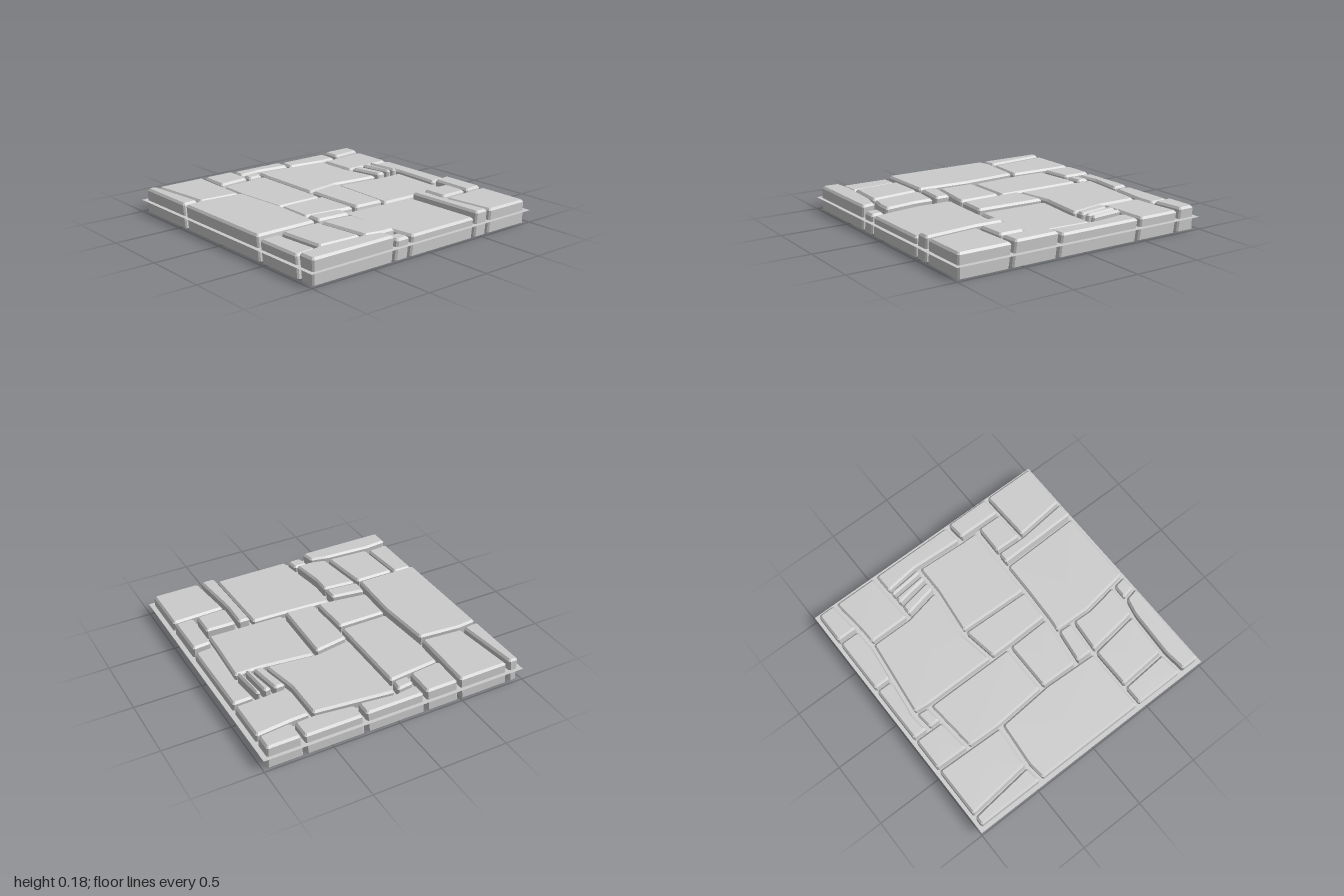
import * as THREE from 'three';

const material = new THREE.MeshStandardMaterial({ color: 0xcccccc, flatShading: true, side: THREE.DoubleSide });
const halfGap = 0.013;

// Joints running front to back, as [x, z] points; stones on both sides share them
const columns = {
  left: [[-0.982, 0]],
  a: [[-0.89, -1], [-0.835, -0.47]],
  b: [[-0.48, -1], [-0.498, -0.45], [-0.464, 0], [-0.482, 0.42], [-0.43, 0.82]],
  c: [[-0.21, -1], [-0.215, -0.75]],
  d: [[0.252, -1]],
  e: [[0.706, -1]],
  f: [[-0.055, -0.87], [-0.07, -0.74], [-0.07, 0], [-0.06, 0.32]],
  g: [[0.552, -0.47], [0.612, -0.19]],
  h: [[0.66, -0.46], [0.707, -0.19]],
  i: [[0.74, -0.46], [0.767, -0.19]],
  j: [[0.797, -0.46], [0.83, -0.2], [0.81, 0.2], [0.805, 0.56]],
  k: [[0.218, -0.2], [0.2, 0.33]],
  l: [[-0.195, 0.33], [-0.205, 0.6], [-0.147, 0.985]],
  m: [[0.442, 0.36], [0.458, 0.98]],
  n: [[0.557, 0.37], [0.552, 0.58], [0.595, 0.98]],
  o: [[-0.812, 0.43], [-0.785, 0.81]],
  p: [[-0.305, 0.86], [-0.28, 0.98]],
  right: [[0.978, 0]],
};

// Joints running left to right
const rows = {
  back: [[0, -0.987]],
  A: [[-1, -0.45], [-0.83, -0.467], [-0.49, -0.437]],
  B: [[-0.49, -0.707], [-0.07, -0.747]],
  C: [[-0.21, -0.845], [-0.03, -0.867], [0.55, -0.795], [0.7, -0.8], [1, -0.83]],
  D: [[0.55, -0.457], [1, -0.472]],
  E: [[-0.07, -0.175], [0.215, -0.222], [0.6, -0.178]],
  F: [[0, -0.033]],
  G: [[-0.47, 0.272], [-0.1, 0.325], [0.2, 0.34], [0.8, 0.355]],
  H: [[-0.47, 0.422], [-0.21, 0.448]],
  I: [[0, 0.422]],
  J: [[-1, 0.83], [-0.8, 0.81], [-0.44, 0.83], [-0.3, 0.862], [-0.15, 0.865]],
  K: [[0.8, 0.212], [1, 0.195]],
  L: [[0.56, 0.58], [1, 0.565]],
  front: [[0, 0.984]],
};

// Stones by height, each named by its left, right, back and front joints
const stones = [
  [0.145, 'l m G front', 'k j E G', 'p l J front'],
  [0.158, 'f g C E', 'g right C D', 'j right D K', 'd e back C', 'left o I J', 'b f B F'],
  [0.165, 'c d back C', 'c f C B', 'f k E G', 'b f F G'],
  [0.171, 'a b back A', 'b c back B', 'e right back C', 'g h D E', 'n right L front', 'o b I J', 'b l H J'],
  [0.179, 'left a back A', 'left b A I', 'h i D E', 'i j D E', 'b l G H', 'j right K L', 'm n G front', 'n j G L', 'left p J front'],
];

// Position of a joint at t; axis is the coordinate that t runs along
function along(joint, t, axis) {
  for (let i = 1; i < joint.length; i++) {
    const a = joint[i - 1], b = joint[i];
    if (t < b[axis]) {
      const f = Math.max(0, (t - a[axis]) / (b[axis] - a[axis]));
      return THREE.MathUtils.lerp(a[1 - axis], b[1 - axis], f);
    }
  }
  return joint[joint.length - 1][1 - axis];
}

function crossing(column, row) {
  let x = column[0][0], z = 0;
  for (let i = 0; i < 12; i++) {
    z = along(row, x, 0);
    x = along(column, z, 1);
  }
  return [x, z];
}

// Outline of the area between four joints
function enclose(left, right, back, front) {
  const bends = (joint, p, q, axis) =>
    joint.filter((v) => v[axis] > p[axis] + 0.05 && v[axis] < q[axis] - 0.05);
  const bl = crossing(left, back), br = crossing(right, back);
  const fr = crossing(right, front), fl = crossing(left, front);
  return [
    bl, ...bends(back, bl, br, 0),
    br, ...bends(right, br, fr, 1),
    fr, ...bends(front, fl, fr, 0).reverse(),
    fl, ...bends(left, bl, fl, 1).reverse(),
  ];
}

// Moves every edge of a polygon inwards by d
function inset(pts, d) {
  const n = pts.length;
  return pts.map((p, i) => {
    const a = pts[(i + n - 1) % n], b = pts[(i + 1) % n];
    const u = new THREE.Vector2(p[0] - a[0], p[1] - a[1]).normalize();
    const v = new THREE.Vector2(b[0] - p[0], b[1] - p[1]).normalize();
    const k = d / (1 + u.dot(v));
    return [p[0] - (u.y + v.y) * k, p[1] + (u.x + v.x) * k];
  });
}

// Cuts each corner of a polygon into a short edge
function clipCorners(pts, size) {
  const n = pts.length;
  return pts.flatMap((p, i) => [pts[(i + n - 1) % n], pts[(i + 1) % n]].map((q) => {
    const t = size / Math.hypot(q[0] - p[0], q[1] - p[1]);
    return [p[0] + (q[0] - p[0]) * t, p[1] + (q[1] - p[1]) * t];
  }));
}

// Leans the inner edges while the outer border stays upright
const lean = (pts, dx, dz) => pts.map(([x, z]) => [
  Math.abs(x) > 0.96 ? x : x + dx,
  Math.abs(z) > 0.96 ? z : z + dz,
]);

// Open-bottomed stone: leaning walls, bevelled rim and a flat top
function makeStone(height, outline) {
  const upper = lean(outline, 0.003, -0.007);
  const rings = [
    [clipCorners(lean(outline, -0.012, 0.014), 0.011), 0],
    [clipCorners(upper, 0.011), height - 0.016],
    [clipCorners(inset(upper, 0.014), 0.008), height],
  ].map(([pts, y]) => pts.map(([x, z]) => [x, y, z]));
  const n = rings[0].length, top = rings[2], pos = [];
  const centre = [0, 1, 2].map((k) => top.reduce((s, p) => s + p[k], 0) / n);
  for (let i = 0; i < n; i++) {
    const j = (i + 1) % n;
    for (let r = 0; r < 2; r++) {
      const lo = rings[r], hi = rings[r + 1];
      pos.push(...lo[i], ...hi[i], ...hi[j], ...lo[i], ...hi[j], ...lo[j]);
    }
    pos.push(...centre, ...top[j], ...top[i]);
  }
  const geometry = new THREE.BufferGeometry();
  geometry.setAttribute('position', new THREE.Float32BufferAttribute(pos, 3));
  geometry.computeVertexNormals();
  return new THREE.Mesh(geometry, material);
}

export function createModel() {
  const model = new THREE.Group();
  model.name = 'stoneFloorTile';

  // Thin sheet of mortar running through the stones
  const mortar = new THREE.Mesh(new THREE.PlaneGeometry(2, 2).rotateX(-Math.PI / 2), material);
  mortar.position.y = 0.09;
  mortar.name = 'mortarSheet';
  model.add(mortar);

  for (const [height, ...names] of stones) {
    for (const name of names) {
      const [left, right, back, front] = name.split(' ');
      const outline = enclose(columns[left], columns[right], rows[back], rows[front]);
      const stone = makeStone(height, inset(outline, halfGap));
      stone.name = 'pavingStone';
      model.add(stone);
    }
  }
  return model;
}
